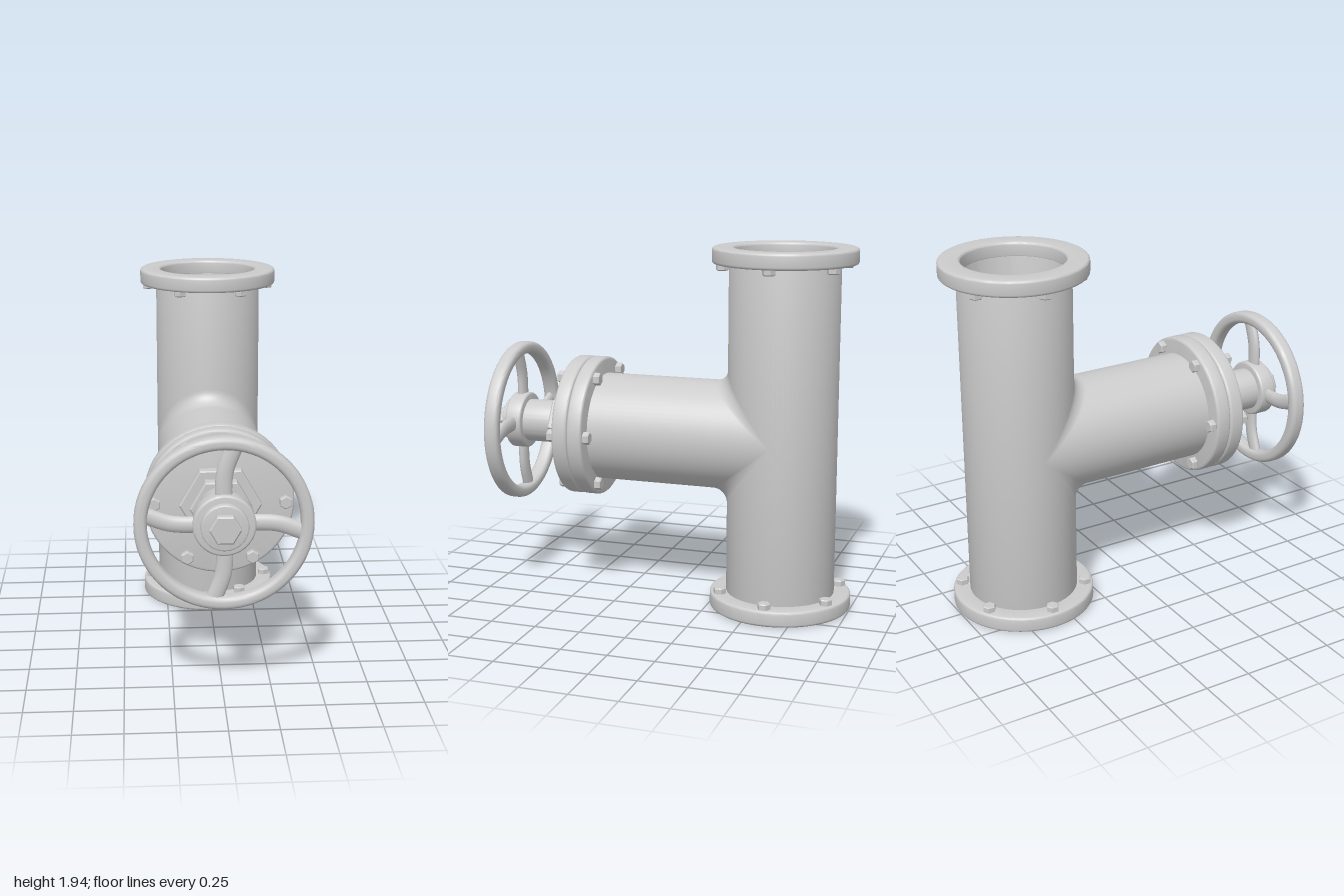
import * as THREE from 'three';
import { toCreasedNormals } from 'three/addons/utils/BufferGeometryUtils.js';

const AXIS_Y = 0.925;   // height of the branch axis
const PIPE_Z = -0.62;   // depth of the vertical pipe axis
const R = 0.292;        // outer radius of both pipes
const FILLET = 0.08;    // blend radius at the tee
const SEGS = 72;
const material = new THREE.MeshStandardMaterial({ color: 0xcccccc });

function addMesh(parent, name, geometry) {
  const mesh = new THREE.Mesh(geometry, material);
  mesh.name = name;
  parent.add(mesh);
  return mesh;
}

// Turned solid or ring about the y axis with rounded edges; six sides give a nut
function turned(rIn, rOut, y0, y1, bevel, sides = SEGS, steps = 4) {
  const pts = [];
  const corner = (cx, cy, start) => {
    for (let i = 0; i <= steps; i++) {
      const a = start + (i / steps) * Math.PI / 2;
      pts.push(new THREE.Vector2(cx + bevel * Math.cos(a), cy + bevel * Math.sin(a)));
    }
  };
  if (rIn === 0) pts.push(new THREE.Vector2(0, y0));
  corner(rOut - bevel, y0 + bevel, -Math.PI / 2);
  corner(rOut - bevel, y1 - bevel, 0);
  if (rIn === 0) pts.push(new THREE.Vector2(0, y1));
  else {
    corner(rIn + bevel, y1 - bevel, Math.PI / 2);
    corner(rIn + bevel, y0 + bevel, Math.PI);
    pts.push(pts[0].clone());
  }
  return toCreasedNormals(new THREE.LatheGeometry(pts, sides), 0.5);
}

// Six hexagonal bolt heads in a circle about the y axis
function boltCircle(parent, name, y0, y1) {
  const geometry = turned(0, 0.035, y0, y1, 0.005, 6, 1);
  for (let i = 0; i < 6; i++) {
    const a = i * Math.PI / 3;
    const bolt = addMesh(parent, name, geometry);
    bolt.position.set(0.335 * Math.cos(a), 0, 0.335 * Math.sin(a));
  }
}

// Branch pipe whose root flares into the vertical pipe with a rolling-ball blend
function branchGeometry(zEnd) {
  const arcSteps = 10, rows = arcSteps + 2;
  const positions = [], index = [];
  for (let i = 0; i < SEGS; i++) {
    const a = (i / SEGS) * Math.PI * 2;
    const x = R * Math.sin(a), c = Math.cos(a), k = Math.abs(c);
    positions.push(x, R * c, zEnd);
    for (let j = 0; j <= arcSteps; j++) {
      const t = (j / arcSteps) * Math.PI / 2;
      positions.push(
        x,
        c * (R + FILLET - FILLET * Math.cos(t)),
        k * (R + FILLET - FILLET * Math.sin(t))
      );
    }
    const n = ((i + 1) % SEGS) * rows, m = i * rows;
    for (let j = 0; j < rows - 1; j++) {
      index.push(m + j, n + j, m + j + 1, n + j, n + j + 1, m + j + 1);
    }
  }
  const geometry = new THREE.BufferGeometry();
  geometry.setAttribute('position', new THREE.Float32BufferAttribute(positions, 3));
  geometry.setIndex(index);
  geometry.computeVertexNormals();
  return geometry;
}

export function createModel() {
  const model = new THREE.Group();
  model.name = 'pipeValve';

  // Vertical pipe, open through its full height
  const pipe = new THREE.Group();
  pipe.name = 'verticalPipe';
  pipe.position.z = PIPE_Z;
  model.add(pipe);
  addMesh(pipe, 'pipeBody', turned(0.266, R, 0.01, 1.93, 0.002));
  addMesh(pipe, 'bottomFlange', turned(0.265, 0.381, 0, 0.085, 0.015));
  addMesh(pipe, 'topFlange', turned(0.265, 0.381, 1.855, 1.94, 0.015));
  boltCircle(pipe, 'bottomFlangeBolt', 0.08, 0.117);
  boltCircle(pipe, 'topFlangeBolt', 1.825, 1.86);

  // Branch pipe
  const branch = addMesh(model, 'branchPipe', branchGeometry(0.4 - PIPE_Z));
  branch.position.set(0, AXIS_Y, PIPE_Z);

  // Everything on the branch axis, turned so that local y points to the front
  const valve = new THREE.Group();
  valve.name = 'valve';
  valve.position.y = AXIS_Y;
  valve.rotation.x = Math.PI / 2;
  model.add(valve);
  addMesh(valve, 'branchFlange', turned(0, 0.381, 0.382, 0.467, 0.015));
  addMesh(valve, 'coverFlange', turned(0, 0.381, 0.467, 0.553, 0.015));
  boltCircle(valve, 'branchFlangeBolt', 0.347, 0.385);
  boltCircle(valve, 'coverFlangeBolt', 0.55, 0.588);

  // Bonnet and stem
  const nuts = [
    ['bonnetNut', 0.21, 0.55, 0.612],
    ['glandNut', 0.16, 0.6, 0.672],
    ['wheelNut', 0.08, 0.95, 1.0],
  ];
  for (const [name, radius, y0, y1] of nuts) {
    addMesh(valve, name, turned(0, radius, y0, y1, 0.008, 6, 1)).rotation.y = Math.PI / 6;
  }
  addMesh(valve, 'stem', turned(0, 0.117, 0.66, 0.964, 0.008));

  // Handwheel with four curved spokes
  const wheel = new THREE.Group();
  wheel.name = 'handwheel';
  valve.add(wheel);
  addMesh(wheel, 'wheelRim', turned(0.375, 0.44, 0.843, 0.925, 0.024));
  addMesh(wheel, 'wheelHub', turned(0, 0.155, 0.837, 0.93, 0.012));
  const path = new THREE.CatmullRomCurve3([
    new THREE.Vector3(0, 0, -0.1),
    new THREE.Vector3(-0.003, 0, -0.18),
    new THREE.Vector3(0.006, 0, -0.27),
    new THREE.Vector3(0.052, 0, -0.395),
  ]);
  const spokeGeometry = new THREE.TubeGeometry(path, 16, 0.042, 16);
  for (let i = 0; i < 4; i++) {
    const spoke = addMesh(wheel, 'wheelSpoke', spokeGeometry);
    spoke.position.y = 0.884;
    spoke.scale.y = 0.6;
    spoke.rotation.y = i * Math.PI / 2;
  }
  return model;
}
